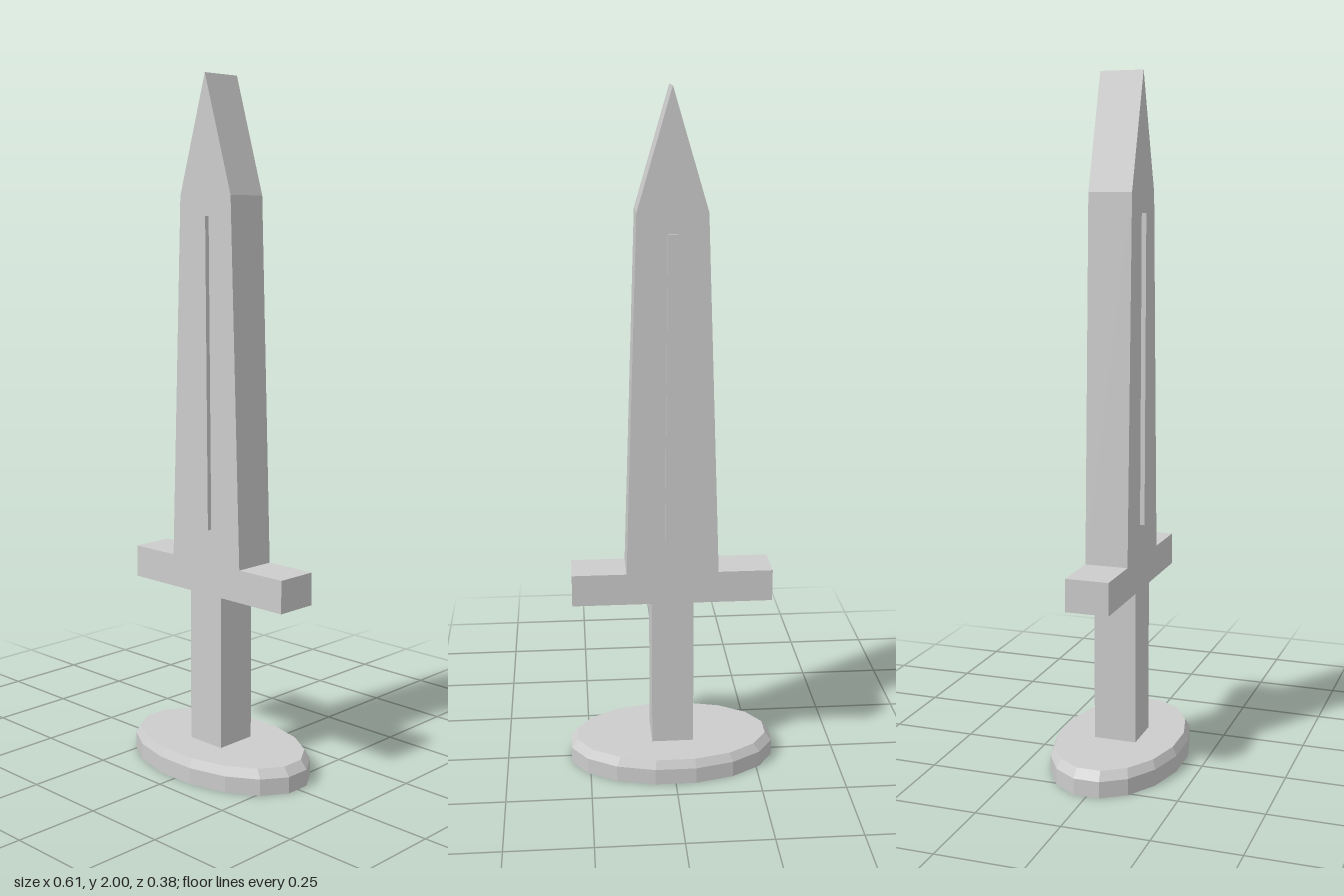
import * as THREE from 'three';

const steel = new THREE.MeshStandardMaterial({ color: 0xcccccc });
steel.name = 'light grey';

// Extrudes a mirrored half outline, centred on z = 0
function extrudeMirrored(half, depth) {
  const left = half.map(([x, y]) => [-x, y]).reverse();
  const points = [...half, ...left.filter(([x]) => x !== 0)].map(([x, y]) => new THREE.Vector2(x, y));
  const geometry = new THREE.ExtrudeGeometry(new THREE.Shape(points), { depth, bevelEnabled: false });
  return geometry.translate(0, 0, -depth / 2);
}

function addPart(group, name, geometry) {
  const mesh = new THREE.Mesh(geometry, steel);
  mesh.name = name;
  group.add(mesh);
  return mesh;
}

export function createModel() {
  const group = new THREE.Group();
  group.name = 'sword';

  // Grip, crossguard and blade in one flat slab
  addPart(group, 'swordBody', extrudeMirrored([
    [0.062, 0.07], [0.062, 0.525], [0.295, 0.525], [0.295, 0.62],
    [0.135, 0.62], [0.099, 1.667], [0, 2],
  ], 0.127));

  // Tapered raised rib on each face of the blade
  for (const side of [1, -1]) {
    const rib = extrudeMirrored([[0.023, 0.72], [0.014, 1.61]], 0.014);
    rib.translate(0, 0, side * 0.07);
    addPart(group, side > 0 ? 'frontRib' : 'backRib', rib);
  }

  // Oval faceted pommel with a chamfered upper edge
  const profile = [[0, 0], [1, 0], [1, 0.048], [0.935, 0.073], [0, 0.073]]
    .map(([r, y]) => new THREE.Vector2(r, y));
  const pommel = new THREE.LatheGeometry(profile, 16, Math.PI / 16)
    .scale(0.312, 1, 0.193).toNonIndexed();
  pommel.computeVertexNormals();
  addPart(group, 'pommel', pommel);

  return group;
}
